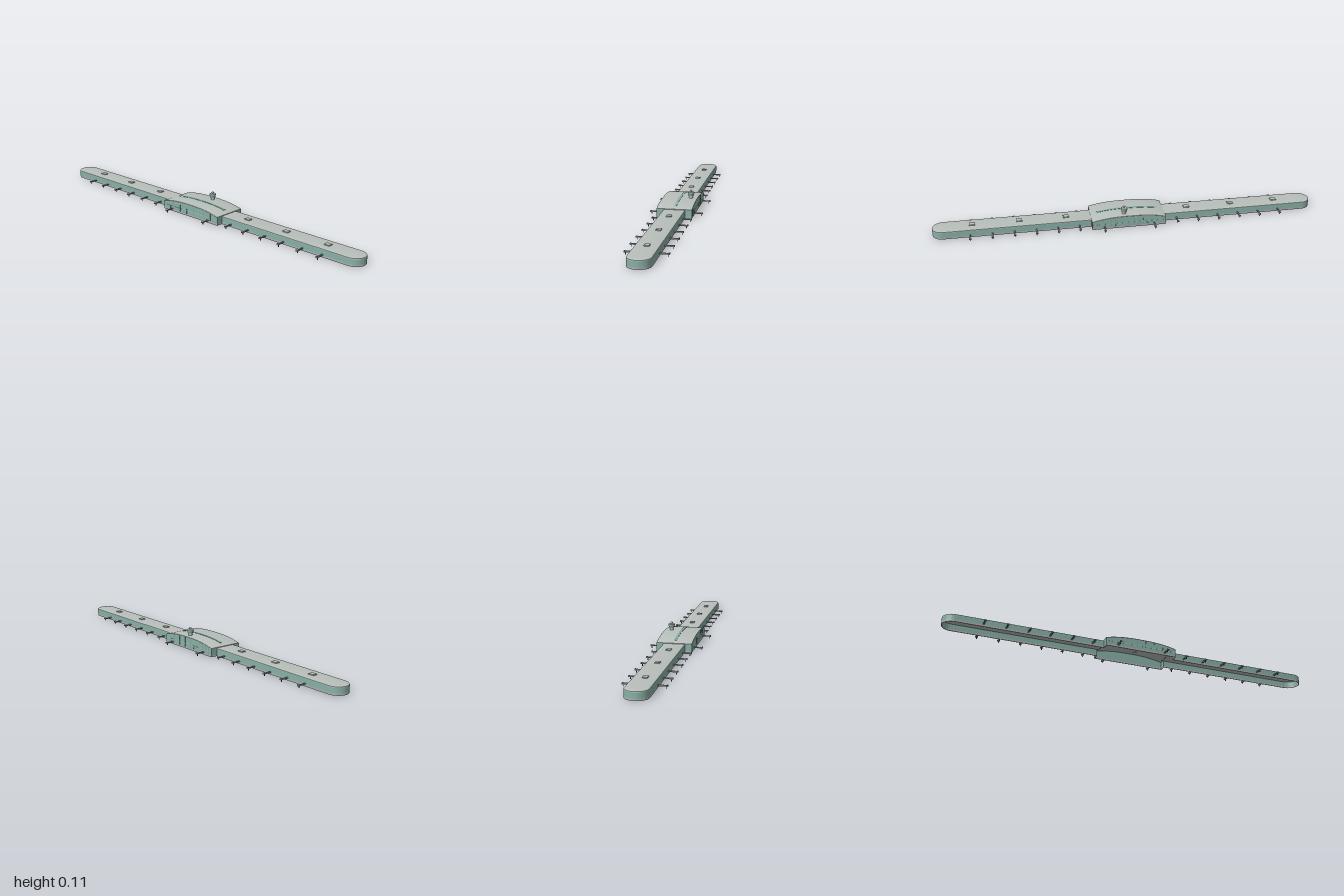
import * as THREE from 'three';
import { toCreasedNormals } from 'three/addons/utils/BufferGeometryUtils.js';

const mat = (name, color) => {
  const m = new THREE.MeshStandardMaterial({ color });
  m.name = name;
  return m;
};

export function createModel() {
  const roofGrey = mat('roof grey', 0xb9c0bc);
  const glass = mat('green glass', 0x86b0a6);
  const baseGrey = mat('base grey', 0xa9afad);
  const bridgeGrey = mat('bridge grey', 0x8d9393);
  const dark = mat('dark metal', 0x4c5253);

  const model = new THREE.Group();
  model.name = 'terminal';
  const HALL = 0.193, HZ = 0.09, PZ = 0.055, WALL = 0.003;

  const add = (parent, name, geo, material, x = 0, y = 0, z = 0) => {
    const m = new THREE.Mesh(geo, material);
    m.name = name;
    m.position.set(x, y, z);
    parent.add(m);
    return m;
  };
  const box = (parent, name, material, w, h, d, x, y, z) =>
    add(parent, name, new THREE.BoxGeometry(w, h, d), material, x, y, z);
  // Plan shape extruded upwards
  const raise = (shape, h, opts = {}) => {
    const g = new THREE.ExtrudeGeometry(shape, { depth: h, bevelEnabled: false, curveSegments: 24, ...opts });
    g.rotateX(-Math.PI / 2);
    return toCreasedNormals(g, 0.5);
  };

  // Boarding bridge reaching out along +z from a wall
  const bridge = (parent, x, wallZ, side) => {
    const g = new THREE.Group();
    g.name = 'boardingBridge';
    g.position.set(x, 0, side * wallZ);
    if (side < 0) g.rotation.y = Math.PI;
    box(g, 'bridgeTunnel', bridgeGrey, 0.006, 0.006, 0.044, 0, 0.013, 0.022);
    box(g, 'bridgeHead', bridgeGrey, 0.012, 0.007, 0.006, 0, 0.0135, 0.043);
    box(g, 'bridgePost', dark, 0.003, 0.01, 0.003, 0, 0.005, 0.038);
    parent.add(g);
  };

  // Piers with rounded ends
  const pierWall = () => {
    const c = 1 - PZ, r = PZ - WALL, s = new THREE.Shape();
    s.moveTo(HALL, -PZ);
    s.lineTo(c, -PZ);
    s.absarc(c, 0, PZ, -Math.PI / 2, Math.PI / 2, false);
    s.lineTo(HALL, PZ);
    s.lineTo(HALL, r);
    s.lineTo(c, r);
    s.absarc(c, 0, r, Math.PI / 2, -Math.PI / 2, true);
    s.lineTo(HALL, -r);
    s.closePath();
    return s;
  };
  const roofPlan = new THREE.Shape();
  roofPlan.moveTo(HALL - 0.005, -0.047);
  roofPlan.lineTo(1 - PZ, -0.047);
  roofPlan.absarc(1 - PZ, 0, 0.047, -Math.PI / 2, Math.PI / 2, false);
  roofPlan.lineTo(HALL - 0.005, 0.047);
  roofPlan.closePath();

  for (const side of [1, -1]) {
    const pier = new THREE.Group();
    pier.name = side > 0 ? 'leftPier' : 'rightPier';
    if (side < 0) pier.rotation.y = Math.PI;
    add(pier, 'pierBase', raise(pierWall(), 0.01), baseGrey);
    add(pier, 'pierGlass', raise(pierWall(), 0.027), glass, 0, 0.01, 0);

    // Roof slab: bevelled on top, flat underneath
    const g = raise(roofPlan, 0.001, { bevelEnabled: true, bevelThickness: 0.005, bevelSize: 0.008, bevelSegments: 3 });
    const p = g.attributes.position;
    for (let i = 0; i < p.count; i++) p.setY(i, Math.max(p.getY(i), 0));
    add(pier, 'pierRoof', g, roofGrey, 0, 0.036, 0);

    for (let i = 0; i < 3; i++)
      box(pier, 'roofVent', roofGrey, 0.03, 0.006, 0.024, 0.32 + i * 0.24, 0.044, 0);
    for (let i = 0; i < 6; i++)
      for (const z of [1, -1]) bridge(pier, 0.255 + i * 0.111, PZ, z);
    model.add(pier);
  }

  // Central hall
  const hall = new THREE.Group();
  hall.name = 'hall';
  model.add(hall);
  const arch = x => 0.045 + 0.02 * (1 - Math.pow(Math.abs(x) / HALL, 2.6));
  const band = (x0, lower, upper) => {
    const s = new THREE.Shape(), n = 32, top = [], bottom = [];
    for (let i = 0; i <= n; i++) {
      const x = x0 * (2 * i / n - 1);
      bottom.push(new THREE.Vector2(x, lower(x)));
      top.unshift(new THREE.Vector2(x, upper(x)));
    }
    s.setFromPoints([...bottom, ...top]);
    return s;
  };
  const along = (shape, d, opts = {}) => {
    const g = new THREE.ExtrudeGeometry(shape, { depth: d, bevelEnabled: false, ...opts });
    g.translate(0, 0, -d / 2);
    return toCreasedNormals(g, 0.5);
  };

  // Arched roof with softened edges, and the rooflight along its crown
  add(hall, 'hallRoof', along(band(HALL - 0.002, x => arch(x) - 0.003, x => arch(x) - 0.002), 2 * HZ - 0.004,
    { bevelEnabled: true, bevelThickness: 0.003, bevelSize: 0.002, bevelSegments: 2 }), roofGrey);
  add(hall, 'rooflight', along(band(0.16, x => arch(x) - 0.002, x => arch(x) + 0.0015), 0.013), glass);

  for (const side of [1, -1]) {
    const z = side * (HZ - WALL / 2);
    add(hall, 'hallGlass', along(band(HALL, () => 0.01, x => arch(x) - 0.003), WALL), glass, 0, 0, z);
    box(hall, 'hallBase', baseGrey, 2 * HALL, 0.01, WALL, 0, 0.005, z);
    box(hall, 'hallRail', roofGrey, 2 * HALL, 0.0015, 0.001, 0, 0.027, side * HZ);
    for (let i = 0; i <= 16; i++) {
      const x = (i / 8 - 1) * (HALL - 0.001), h = arch(x) - 0.014;
      box(hall, 'mullion', bridgeGrey, 0.001, h, 0.001, x, 0.01 + h / 2, side * HZ);
    }
    for (const x of [-0.13, 0.13]) bridge(hall, x, HZ, side);

    // End walls on both sides of each pier
    for (const end of [1, -1]) {
      const x = end * (HALL - WALL / 2), w = HZ - PZ, zc = side * (HZ + PZ) / 2;
      box(hall, 'endBase', baseGrey, WALL, 0.01, w, x, 0.005, zc);
      box(hall, 'endGlass', glass, WALL, 0.033, w, x, 0.0265, zc);
    }
  }

  // Control tower standing on the hall roof
  const tower = new THREE.Group();
  tower.name = 'controlTower';
  tower.position.set(0.023, 0, -0.057);
  const drum = (name, m, rTop, rBottom, y0, y1) =>
    add(tower, name, new THREE.CylinderGeometry(rTop, rBottom, y1 - y0, 24), m, 0, (y0 + y1) / 2, 0);
  drum('towerShaft', roofGrey, 0.01, 0.01, 0.058, 0.077);
  drum('cabGlass', glass, 0.0165, 0.013, 0.077, 0.089);
  drum('cabRoof', glass, 0.017, 0.017, 0.089, 0.095);
  drum('cabCap', roofGrey, 0.016, 0.017, 0.095, 0.0965);
  add(tower, 'radarBall', new THREE.SphereGeometry(0.006, 20, 14), roofGrey, 0, 0.1025, 0);
  model.add(tower);

  return model;
}
